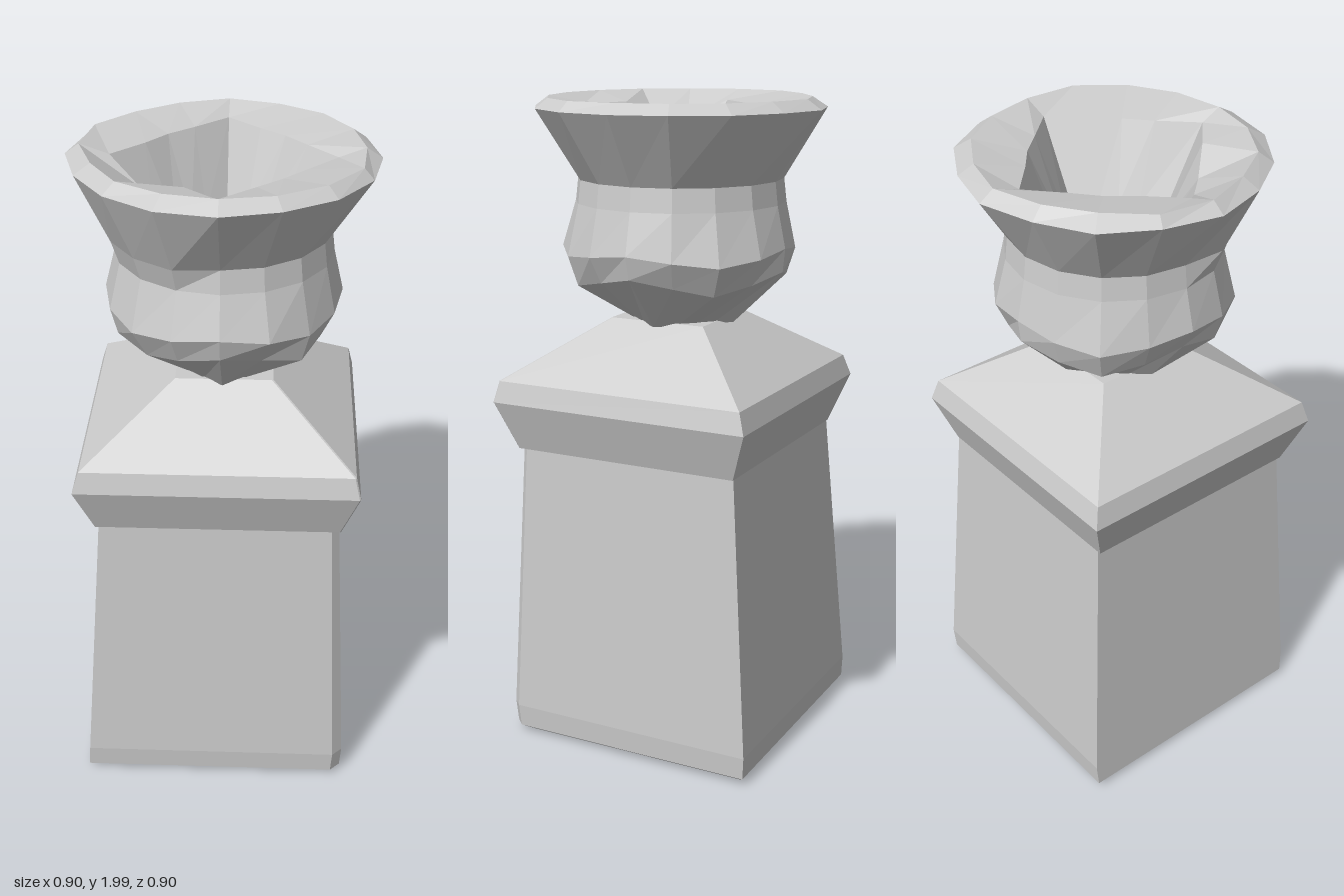
import * as THREE from 'three';

const material = new THREE.MeshStandardMaterial({ color: 0xcccccc, flatShading: true });

// Skins a stack of equal-length rings; the first and last ring are closed by a fan.
function loft(name, rings) {
  const pos = [];
  const tri = (...pts) => pts.forEach(p => pos.push(p.x, p.y, p.z));
  const middle = ring => ring.reduce((s, p) => s.add(p), new THREE.Vector3()).divideScalar(ring.length);
  const n = rings[0].length;
  const first = rings[0], last = rings[rings.length - 1];
  const c0 = middle(first), c1 = middle(last);
  for (let j = 0; j < n; j++) {
    const k = (j + 1) % n;
    for (let i = 0; i + 1 < rings.length; i++) {
      const a = rings[i], b = rings[i + 1];
      tri(a[j], a[k], b[k]);
      tri(a[j], b[k], b[j]);
    }
    tri(c0, first[k], first[j]);
    tri(c1, last[j], last[k]);
  }
  const geo = new THREE.BufferGeometry();
  geo.setAttribute('position', new THREE.Float32BufferAttribute(pos, 3));
  geo.computeVertexNormals();
  const mesh = new THREE.Mesh(geo, material);
  mesh.name = name;
  return mesh;
}

// Rectangular ring with a small bevel on the front left corner.
function rect([y, x0, x1, z0, z1, bevel = 0.004]) {
  return [[x0, z1], [x1 - bevel, z1], [x1, z1 - bevel], [x1, z0], [x0, z0]]
    .map(([x, z]) => new THREE.Vector3(x, y, z));
}

// Repeatable unevenness between -1 and 1
const uneven = (i, j) => {
  const s = Math.sin(i * 12.99 + j * 78.23) * 4375.85;
  return (s - Math.floor(s)) * 2 - 1;
};

// Round ring blended towards a diamond with its corners on the axes.
const SIDES = 16;
function bowlRing([y, r, diamond = 0, wobble = 0, zigzag = 0], i) {
  return Array.from({ length: SIDES }, (_, j) => {
    const a = (j / SIDES) * Math.PI * 2;
    const s = Math.sin(a), c = Math.cos(a);
    const d = r / (Math.abs(s) + Math.abs(c));
    const rad = THREE.MathUtils.lerp(r, d, diamond) + uneven(i, j) * wobble;
    const h = y + (j % 4 === 0 ? zigzag : j % 2 ? 0 : -zigzag);
    return new THREE.Vector3(s * rad, h, c * rad);
  });
}

export function createModel() {
  const model = new THREE.Group();

  // Tapering pedestal
  model.add(loft('pedestal', [
    [0.01, -0.38, 0.36, -0.38, 0.38, 0.02],
    [0.03, -0.425, 0.39, -0.405, 0.405, 0.03],
    [0.1, -0.42, 0.395, -0.41, 0.41, 0.03],
    [0.95, -0.36, 0.355, -0.35, 0.37, 0.022],
  ].map(rect)));

  // Flared cap with a hipped top
  model.add(loft('cap', [
    [0.95, -0.37, 0.36, -0.35, 0.375],
    [1.1, -0.425, 0.41, -0.405, 0.43],
    [1.165, -0.405, 0.395, -0.385, 0.415],
    [1.34, -0.14, 0.15, -0.15, 0.16],
  ].map(rect)));

  // Faceted bowl: outside upwards, over the rim, down the inside to the floor
  const rings = [
    [1.33, 0.18, 0.8],
    [1.47, 0.325, 0.1, 0.015, 0.025],
    [1.55, 0.355, 0, 0.012, 0.015],
    [1.69, 0.32],
    [1.76, 0.312],
    [1.97, 0.445, 0, 0.008],
    [2.0, 0.405, 0, 0.015],
    [1.97, 0.325, 0.9, 0.006],
    [1.74, 0.2, 0.95],
    [1.5, 0.19, 1],
  ].map(bowlRing);

  // The front right quarter flares out from a lower neck line
  for (let j = 12; j <= SIDES; j++) {
    const p = rings[4][j % SIDES];
    if (j > 12 && j < SIDES) {
      p.x *= 1.1;
      p.z *= 1.1;
    }
  }
  // Dent in the front right part of the rim
  for (const j of [13, 14]) rings[7][j].y -= 0.06;
  model.add(loft('bowl', rings));

  return model;
}
